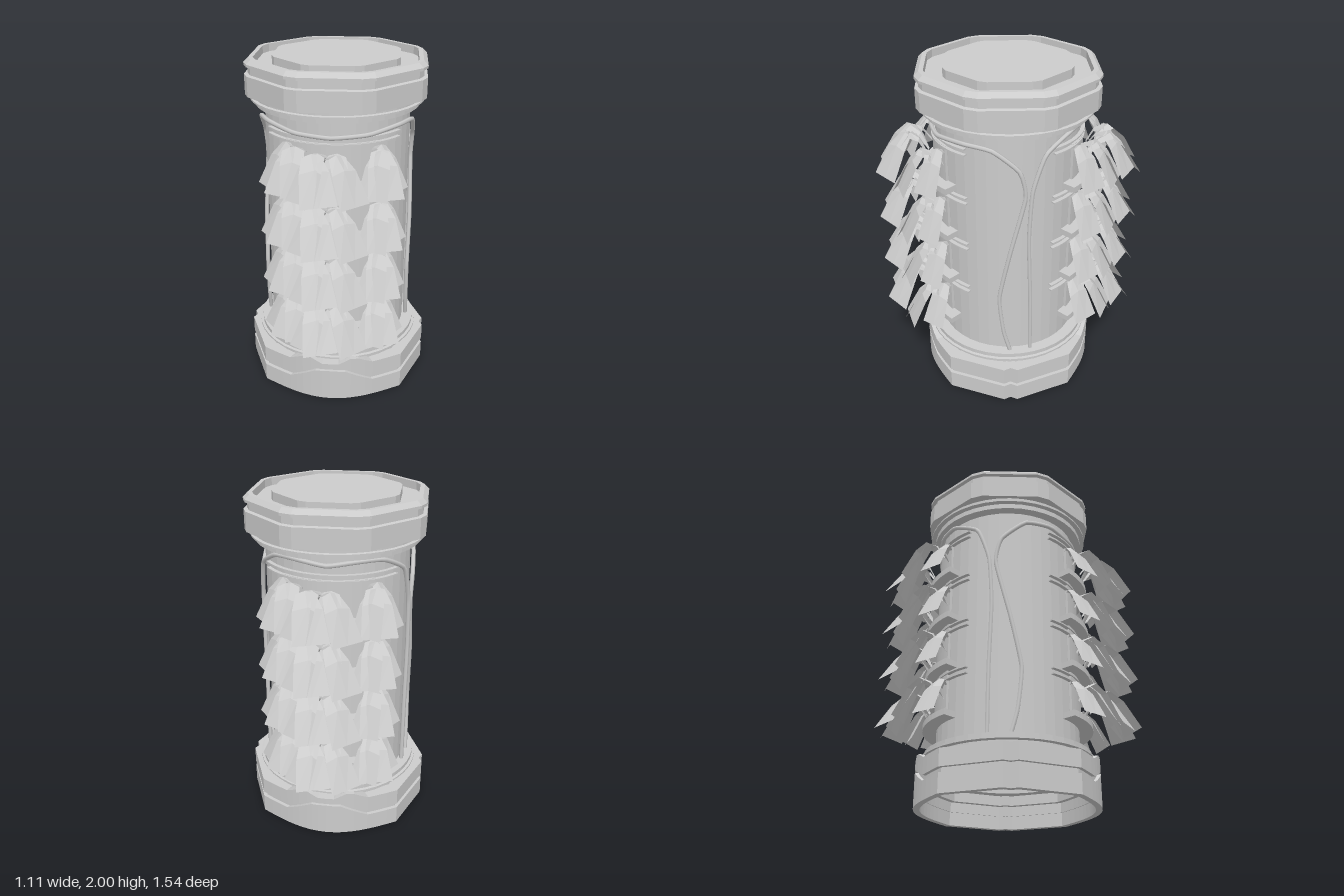
import * as THREE from 'three';

const grey = new THREE.MeshStandardMaterial({ color: 0xcccccc });
const flat = new THREE.MeshStandardMaterial({ color: 0xcccccc, flatShading: true });
const sheet = new THREE.MeshStandardMaterial({ color: 0xcccccc, flatShading: true, side: THREE.DoubleSide });

function add(parent, name, geometry, material) {
  const mesh = new THREE.Mesh(geometry, material);
  mesh.name = name;
  parent.add(mesh);
  return mesh;
}

// Skin between successive closed loops of [x, y, z] points
function loft(loops) {
  const n = loops[0].length;
  const index = [];
  for (let k = 0; k < loops.length - 1; k++) {
    for (let i = 0; i < n; i++) {
      const a = k * n + i, b = k * n + (i + 1) % n;
      index.push(a, a + n, b, b, a + n, b + n);
    }
  }
  const geometry = new THREE.BufferGeometry();
  geometry.setAttribute('position', new THREE.Float32BufferAttribute(loops.flat(2), 3));
  geometry.setIndex(index);
  geometry.computeVertexNormals();
  return geometry;
}

// Octagon with slightly clipped corners, given its half width
function octagon(half, y) {
  const loop = [];
  for (let i = 0; i < 8; i++) {
    for (const d of [-0.07, 0.07]) {
      const a = (i + 0.5) * Math.PI / 4 + d;
      const r = half / Math.cos(Math.PI / 8 - Math.abs(d));
      loop.push([r * Math.cos(a), y, r * Math.sin(a)]);
    }
  }
  return loop;
}
const octLathe = profile => loft(profile.map(([r, y]) => octagon(r, y)));
const roundLathe = profile => new THREE.LatheGeometry(profile.map(p => new THREE.Vector2(...p)), 40);

// Base footprint: notched sides, curved front and back
function footprint() {
  const q = [[0.535, 0], [0.555, 0.04]];
  for (const x of [0.42, 0.36, 0.3, 0.25, 0.21, 0.17, 0.12, 0.09, 0.05, 0]) {
    q.push([x, 0.37 + 0.16 * Math.cos(x / 0.42 * Math.PI / 2)]);
  }
  const half = [...q, ...q.slice(0, -1).reverse().map(([x, z]) => [-x, z])];
  return [...half, ...half.slice(1, -1).reverse().map(([x, z]) => [x, -z])];
}

// Piecewise height along the front, by distance from the middle
function height(points, x, z) {
  const d = Math.abs(z) > 0.3 ? Math.abs(x) : 1;
  for (let i = 1; i < points.length; i++) {
    const [x0, y0] = points[i - 1], [x1, y1] = points[i];
    if (d <= x1) return y0 + (y1 - y0) * (d - x0) / (x1 - x0);
  }
  return points[points.length - 1][1];
}

function baseRing(low, high, outer, inner) {
  const pts = footprint();
  const loop = (s, h) => pts.map(([x, z]) => [x * s, height(h, x, z), z * s]);
  return loft([loop(inner, low), loop(outer, low), loop(outer, high), loop(inner, high), loop(inner, low)]);
}

// Curved slab facing +z
function arcSlab(r0, r1, halfAngle, y0, y1) {
  const s = new THREE.Shape();
  const m = Math.PI / 2;
  s.absarc(0, 0, r1, m - halfAngle, m + halfAngle, false);
  s.absarc(0, 0, r0, m + halfAngle, m - halfAngle, true);
  return new THREE.ExtrudeGeometry(s, { depth: y1 - y0, bevelEnabled: false, curveSegments: 10 })
    .rotateX(Math.PI / 2).translate(0, y1, 0);
}

// Arching leaf, narrow at the root and broad at the square tip
function leafGeometry(length, width) {
  const profile = [[0, 0.12, 0.06], [0.2, 0.205, 0.25], [0.45, 0.235, 0.5], [0.68, 0.17, 0.8], [1, 0, 1]];
  const pos = [], index = [];
  profile.forEach(([s, y, w], i) => {
    for (const side of [-1, 0, 1]) {
      pos.push(side * w * width / 2, y - (i < 4 ? 0.015 * Math.abs(side) : 0), s * length);
    }
    if (i === 0) return;
    for (const c of [0, 1]) {
      const a = (i - 1) * 3 + c;
      index.push(a, a + 3, a + 1, a + 1, a + 3, a + 4);
    }
  });
  const g = new THREE.BufferGeometry();
  g.setAttribute('position', new THREE.Float32BufferAttribute(pos, 3));
  g.setIndex(index);
  g.computeVertexNormals();
  return g;
}

// Leaves of one tier: middle of the tip x, z, heading in degrees, length, width
const leaves = [
  [-0.035, 0.735, 19, 0.3, 0.2], [0.15, 0.71, 41, 0.3, 0.19], [-0.14, 0.695, -32, 0.28, 0.19],
  [0.02, 0.68, -12, 0.22, 0.19], [-0.245, 0.605, -24, 0.27, 0.22], [0.305, 0.61, 17, 0.26, 0.2],
  [0.375, 0.47, 55, 0.24, 0.15], [-0.35, 0.47, -52, 0.24, 0.17], [0.23, 0.62, -18, 0.24, 0.17],
  [-0.17, 0.6, 20, 0.22, 0.17],
];

function planterFace() {
  const face = new THREE.Group();
  add(face, 'planterBacking', arcSlab(0.4, 0.435, 0.62, 0.45, 1.6), grey);
  for (let tier = 0; tier < 4; tier++) {
    const y = 0.45 + tier * 0.3;
    add(face, 'planterTray', arcSlab(0.4, 0.5, 0.78, y, y + 0.035), grey);
    for (const rise of [0.24, 0.275]) {
      add(face, 'planterLintel', arcSlab(0.4, 0.443, 0.98, y + rise, y + rise + 0.008), grey);
    }
    const plants = new THREE.Group();
    plants.name = 'plants';
    for (const [x, z, deg, length, width] of leaves) {
      const turn = deg * Math.PI / 180;
      const leaf = add(plants, 'leaf', leafGeometry(length, width), sheet);
      leaf.position.set(x - length * Math.sin(turn), y + 0.01, z - length * Math.cos(turn));
      leaf.rotation.y = turn;
    }
    face.add(plants);
  }
  return face;
}

// Cable through [angle from +x, height] points, mirrored to the other side
function cable(points) {
  const other = points.slice(0, -1).reverse().map(([a, y]) => [Math.sign(points.at(-1)[0]) * Math.PI - a, y]);
  const path = [...points, ...other].map(([a, y]) =>
    new THREE.Vector3(0.442 * Math.cos(a), y, 0.442 * Math.sin(a)));
  return new THREE.TubeGeometry(new THREE.CatmullRomCurve3(path, false, 'catmullrom', 0.25), 110, 0.013, 6);
}

export function createModel() {
  const model = new THREE.Group();
  model.name = 'planterTower';

  // Base with a stepped groove
  const lowTop = [[0, 0.2], [0.09, 0.195], [0.25, 0.11]];
  const upBottom = [[0, 0.212], [0.09, 0.21], [0.25, 0.14]];
  const upTop = [[0, 0.25], [0.05, 0.25], [0.12, 0.285], [0.17, 0.28], [0.25, 0.24]];
  add(model, 'baseLowerRing', baseRing([[0, 0]], lowTop, 1, 0.93), flat);
  add(model, 'baseUpperRing', baseRing(upBottom, upTop, 1, 0.86), flat);
  add(model, 'baseGroove', baseRing([[0, 0.08]], [[0, 0.23]], 0.96, 0.92), flat);
  add(model, 'baseCollar', roundLathe([[0.4, 0.2], [0.475, 0.2], [0.475, 0.27], [0.503, 0.272], [0.503, 0.282],
    [0.487, 0.285], [0.487, 0.31], [0.41, 0.312]]), flat);

  // Column, hollow at the foot
  add(model, 'column', roundLathe([[0, 0.41], [0.4, 0.41], [0.4, 0.2], [0.42, 0.2], [0.42, 1.75]]), flat);

  // Stepped cap with recessed top and raised lid
  add(model, 'capNeck', roundLathe([[0.4, 1.725], [0.475, 1.725], [0.475, 1.755], [0.503, 1.757], [0.503, 1.767],
    [0.485, 1.77], [0.485, 1.8]]), flat);
  add(model, 'cap', octLathe([[0.38, 1.79], [0.505, 1.79], [0.505, 1.905], [0.485, 1.91], [0.485, 1.95],
    [0.505, 1.955], [0.505, 1.97], [0.48, 1.995], [0.455, 1.995], [0.455, 1.95], [0.001, 1.95]]), flat);
  add(model, 'lid', octLathe([[0.355, 1.94], [0.355, 2], [0.001, 2]]), flat);

  // Planted faces, front and back
  for (const [name, turn] of [['frontPlanters', 0], ['backPlanters', Math.PI]]) {
    const face = planterFace();
    face.name = name;
    face.rotation.y = turn;
    model.add(face);
  }

  // Cables draped over the front and back
  add(model, 'frontCable', cable([[0, 0.3], [0.09, 0.45], [0.145, 0.7], [0, 1.02], [-0.19, 1.37], [-0.11, 1.53],
    [0.22, 1.65], [0.6, 1.665], [1.1, 1.645], [Math.PI / 2, 1.635]]), grey);
  add(model, 'backCable', cable([[-0.28, 0.3], [-0.27, 0.7], [-0.24, 1.1], [-0.28, 1.4], [-0.45, 1.61],
    [-0.85, 1.7], [-1.2, 1.705], [-Math.PI / 2, 1.685]]), grey);
  return model;
}
